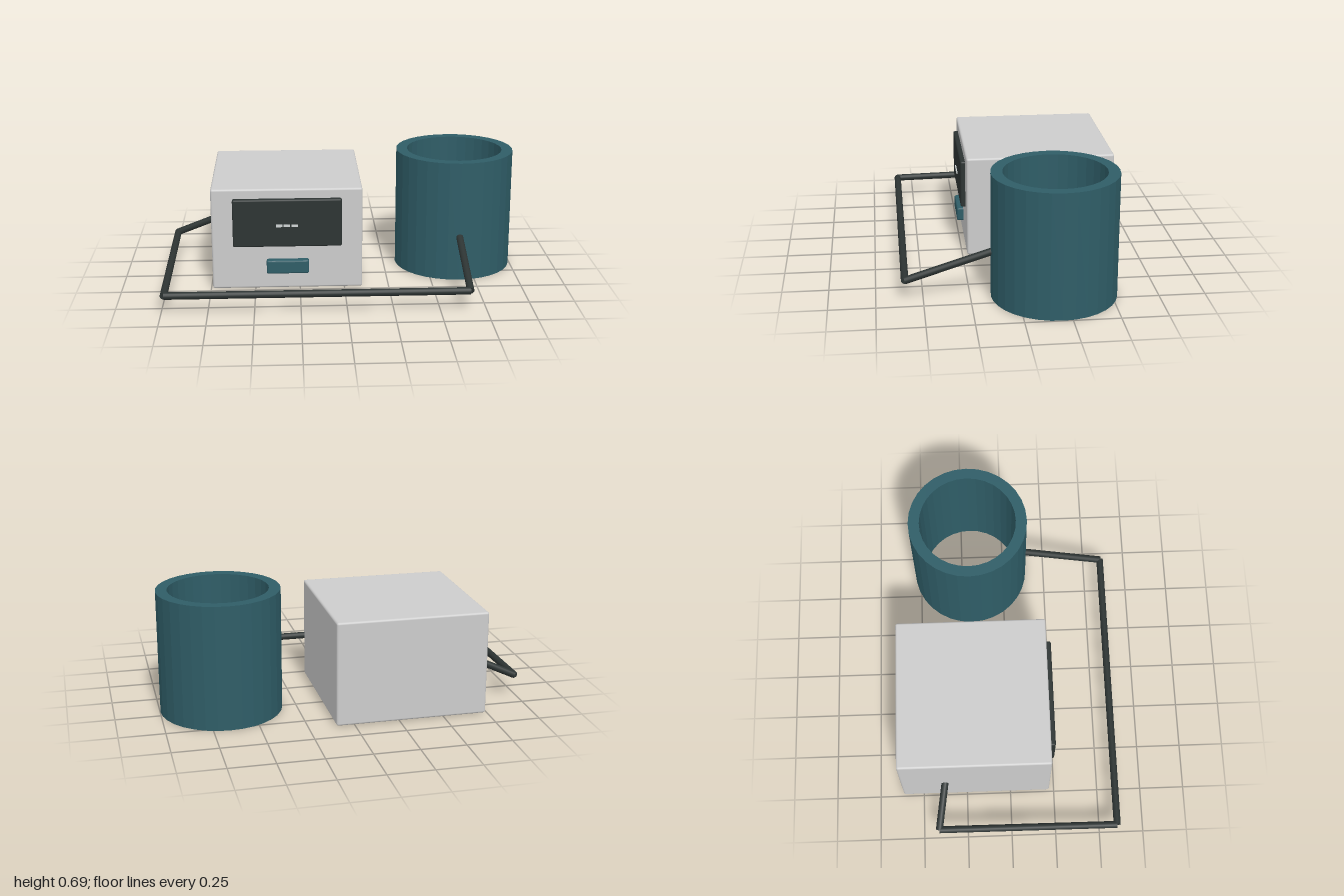
import * as THREE from 'three';
import { RoundedBoxGeometry } from 'three/addons/geometries/RoundedBoxGeometry.js';

function mat(name, color, extra = {}) {
  const m = new THREE.MeshStandardMaterial({ color, ...extra });
  m.name = name;
  return m;
}

export function createModel() {
  const group = new THREE.Group();
  const grey = mat('casing grey', 0xcccccc);
  const teal = mat('teal', 0x2f5d67, { flatShading: true });
  const tealSmooth = teal;
  const dark = mat('charcoal', 0x2d3433);
  const pale = mat('pale display', 0xd0d4d4);

  const add = (name, geometry, material, x, y, z) => {
    const mesh = new THREE.Mesh(geometry, material);
    mesh.name = name;
    mesh.position.set(x, y, z);
    group.add(mesh);
    return mesh;
  };

  // Monitor casing with softly rounded edges
  add('casing', new RoundedBoxGeometry(0.84, 0.58, 0.84, 3, 0.012), grey, -0.32, 0.292, -0.197);

  // Front panel: screen, three dashes and button
  add('screen', new RoundedBoxGeometry(0.606, 0.274, 0.04, 2, 0.01), dark, -0.318, 0.391, 0.23);
  for (let i = -1; i <= 1; i++) {
    add('displayDash', new THREE.BoxGeometry(0.036, 0.014, 0.006), pale, -0.32 + i * 0.042, 0.379, 0.254);
  }
  add('button', new RoundedBoxGeometry(0.236, 0.078, 0.05, 2, 0.01), tealSmooth, -0.318, 0.137, 0.235);

  // Open cuff: a faceted hollow cylinder
  const ring = new THREE.Shape().absarc(0, 0, 0.338, 0, Math.PI * 2);
  ring.holes.push(new THREE.Path().absarc(0, 0, 0.275, 0, Math.PI * 2, true));
  const cuff = new THREE.ExtrudeGeometry(ring, { depth: 0.69, bevelEnabled: false, curveSegments: 16 });
  cuff.rotateX(-Math.PI / 2);
  add('cuff', cuff, teal, 0.66, 0, -0.197);

  // Hose: straight round lengths from the casing side, round the front, to the cuff
  const path = [
    [-0.72, 0.243, -0.366],
    [-0.98, 0.13, -0.41],
    [-0.98, 0.11, 0.595],
    [0.66, 0.11, 0.595],
    [0.66, 0.262, 0.115],
  ].map((p) => new THREE.Vector3(...p));
  const up = new THREE.Vector3(0, 1, 0);
  for (let i = 0; i < path.length - 1; i++) {
    const dir = path[i + 1].clone().sub(path[i]);
    const mid = path[i].clone().add(path[i + 1]).multiplyScalar(0.5);
    const hose = add('hose', new THREE.CylinderGeometry(0.02, 0.02, dir.length(), 16), dark, mid.x, mid.y, mid.z);
    hose.quaternion.setFromUnitVectors(up, dir.normalize());
  }
  return group;
}
